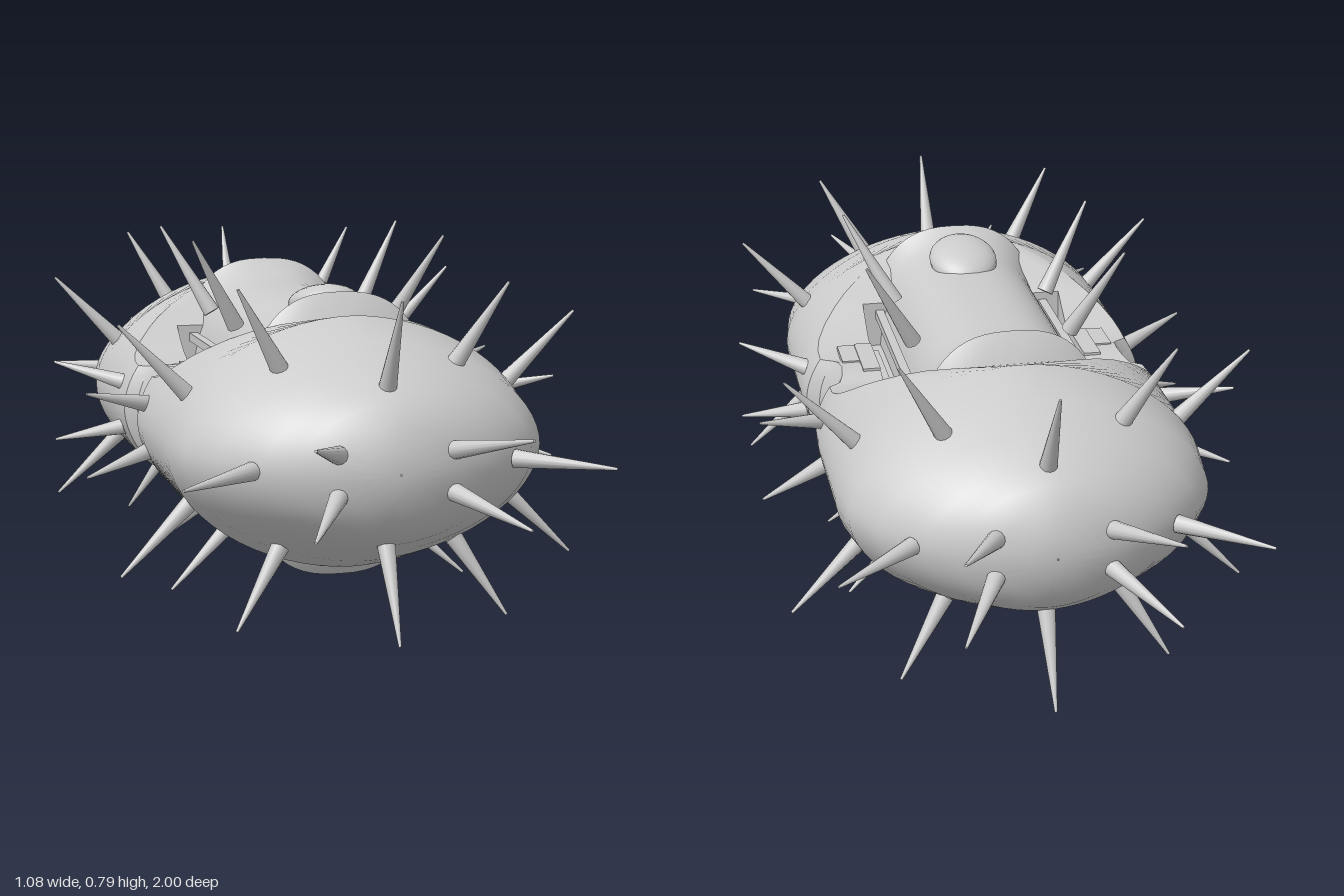
import * as THREE from 'three';
import { toCreasedNormals } from 'three/addons/utils/BufferGeometryUtils.js';

const MID = 0.375;
const material = new THREE.MeshStandardMaterial({ color: 0xcccccc, side: THREE.DoubleSide });

// Outline of a superellipse whose top and bottom are cut flat at clip:
// right arc, top, left arc, bottom, with a fixed number of points in each.
function section(w, h, clip, power, arc = 32, flat = 12) {
  const shape = v => Math.sign(v) * Math.pow(Math.abs(v), 2 / power);
  const limit = Math.asin(Math.min(1, Math.pow(clip / h, power / 2)));
  const half = [];
  for (let i = 0; i < arc; i++) {
    const t = limit * (2 * i / arc - 1);
    half.push([w * shape(Math.cos(t)), h * shape(Math.sin(t))]);
  }
  const edge = w * shape(Math.cos(limit));
  for (let i = 0; i < flat; i++) half.push([edge * (1 - 2 * i / flat), clip]);
  return [...half, ...half.map(([x, y]) => [-x, -y])];
}

// Loft along falling z. rings: [z, halfWidth, halfHeight, clipHeight];
// innerX keeps only the part beyond that x.
function loft(rings, power, innerX = -1) {
  const positions = [], index = [];
  rings.forEach(([z, w, h, clip = h], i) => {
    const points = section(w, h, clip, power), n = points.length;
    points.forEach(([x, y], j) => {
      positions.push(Math.max(innerX, x), MID + y, z);
      if (i === rings.length - 1) return;
      const a = i * n + j, b = i * n + (j + 1) % n;
      index.push(a, a + n, b, b, a + n, b + n);
    });
  });
  const geometry = new THREE.BufferGeometry();
  geometry.setAttribute('position', new THREE.Float32BufferAttribute(positions, 3));
  geometry.setIndex(index);
  return toCreasedNormals(geometry, 0.75);
}

// Completes a half list of rings with its mirror image in z
const mirrored = half => [...half, ...half.filter(r => r[0] > 0).reverse().map(([z, ...r]) => [-z, ...r])];

export function createModel() {
  const model = new THREE.Group();
  const add = (name, geometry, parent = model) => {
    const mesh = new THREE.Mesh(geometry, material);
    mesh.name = name;
    parent.add(mesh);
    return mesh;
  };

  // Domed end shells, bevelled towards the waist
  const shell = loft([
    [0.835, 0.002, 0.002], [0.83, 0.06, 0.045], [0.81, 0.13, 0.1], [0.78, 0.2, 0.137],
    [0.74, 0.26, 0.165], [0.66, 0.34, 0.2], [0.57, 0.39, 0.237], [0.46, 0.405, 0.275],
    [0.4, 0.405, 0.275, 0.253], [0.36, 0.405, 0.275, 0.236], [0.32, 0.405, 0.275, 0.214],
    [0.28, 0.405, 0.275, 0.188], [0.25, 0.405, 0.275, 0.168], [0.25, 0.002, 0.002],
  ], 1.85);
  add('frontShell', shell);
  add('rearShell', shell).rotation.y = Math.PI;

  // Side bars joining the shells, leaving a slot beside the pod
  const bar = loft(mirrored([
    [0.25, 0.405, 0.275, 0.168], [0.21, 0.405, 0.275, 0.14], [0.17, 0.405, 0.275, 0.117],
    [0.13, 0.403, 0.275, 0.104], [0.085, 0.4, 0.275, 0.1], [0.078, 0.39, 0.275, 0.1],
    [0.066, 0.372, 0.275, 0.101], [0.04, 0.367, 0.275, 0.108], [0, 0.365, 0.275, 0.112],
  ]), 1.85, 0.24);
  add('leftBar', bar);
  add('rightBar', bar).rotation.y = Math.PI;

  // Central pod with flared collars
  add('centrePod', loft(mirrored([
    [0.42, 0.002, 0.18], [0.405, 0.2, 0.235], [0.36, 0.212, 0.315], [0.335, 0.207, 0.292],
    [0.305, 0.204, 0.278], [0.26, 0.201, 0.271], [0.21, 0.2, 0.27], [0, 0.2, 0.27],
  ]), 2.6));

  // Small dome on top of the pod, raised towards the front
  const dome = add('topDome', new THREE.SphereGeometry(1, 32, 16));
  dome.scale.set(0.08, 0.04, 0.095);
  dome.position.set(0, 0.65, 0.225);
  dome.rotation.x = -0.25;

  // Rails, floors and stepped blocks in the slots
  const channels = new THREE.Group();
  channels.name = 'sideChannels';
  model.add(channels);
  const blocks = [ // x, height above middle, z, width, height, length
    [0.2, 0.14, 0, 0.02, 0.02, 0.5],
    [0.22, 0.03, 0.04, 0.06, 0.06, 0.42],
    [0.235, 0.07, 0.02, 0.03, 0.04, 0.24],
    [0.26, 0.1, 0.05, 0.04, 0.03, 0.16],
    [0.3, 0.095, 0.08, 0.04, 0.035, 0.1],
  ];
  for (const sx of [1, -1]) for (const sy of [1, -1])
    for (const [x, y, z, w, h, d] of blocks)
      add('channelBlock', new THREE.BoxGeometry(w, h, d), channels)
        .position.set(sx * x, MID + sy * y, z);

  // Spikes: base and tip, repeated on both sides and both ends
  const spikes = new THREE.Group();
  spikes.name = 'spikes';
  model.add(spikes);
  const list = [
    [0, 0.53, 0.73, 0, 0.725, 0.835],
    [0, 0.21, 0.73, 0, 0.02, 0.835],
    [0.12, 0.415, 0.8, 0.22, 0.465, 1],
    [0.12, 0.33, 0.8, 0.22, 0.285, 1],
    [0.28, 0.375, 0.72, 0.45, 0.372, 0.865],
    [0.19, 0.56, 0.59, 0.29, 0.735, 0.64],
    [0.19, 0.185, 0.59, 0.295, 0.02, 0.64],
    [0.345, 0.48, 0.435, 0.505, 0.645, 0.455],
    [0.345, 0.26, 0.435, 0.505, 0.105, 0.455],
    [0.385, 0.425, 0.16, 0.54, 0.467, 0.245],
    [0.385, 0.32, 0.16, 0.54, 0.28, 0.24],
    [0.18, 0.59, 0.13, 0.29, 0.79, 0.19],
    [0.18, 0.15, 0.13, 0.345, 0.003, 0.19],
  ];
  const up = new THREE.Vector3(0, 1, 0);
  for (const [bx, by, bz, tx, ty, tz] of list)
    for (const sx of bx ? [1, -1] : [1]) for (const sz of [1, -1]) {
      const base = new THREE.Vector3(sx * bx, by, sz * bz);
      const tip = new THREE.Vector3(sx * tx, ty, sz * tz);
      const axis = tip.clone().sub(base);
      const spike = add('spike', new THREE.CylinderGeometry(0.003, 0.02, axis.length(), 12), spikes);
      spike.position.copy(base).add(tip).multiplyScalar(0.5);
      spike.quaternion.setFromUnitVectors(up, axis.normalize());
    }

  return model;
}
